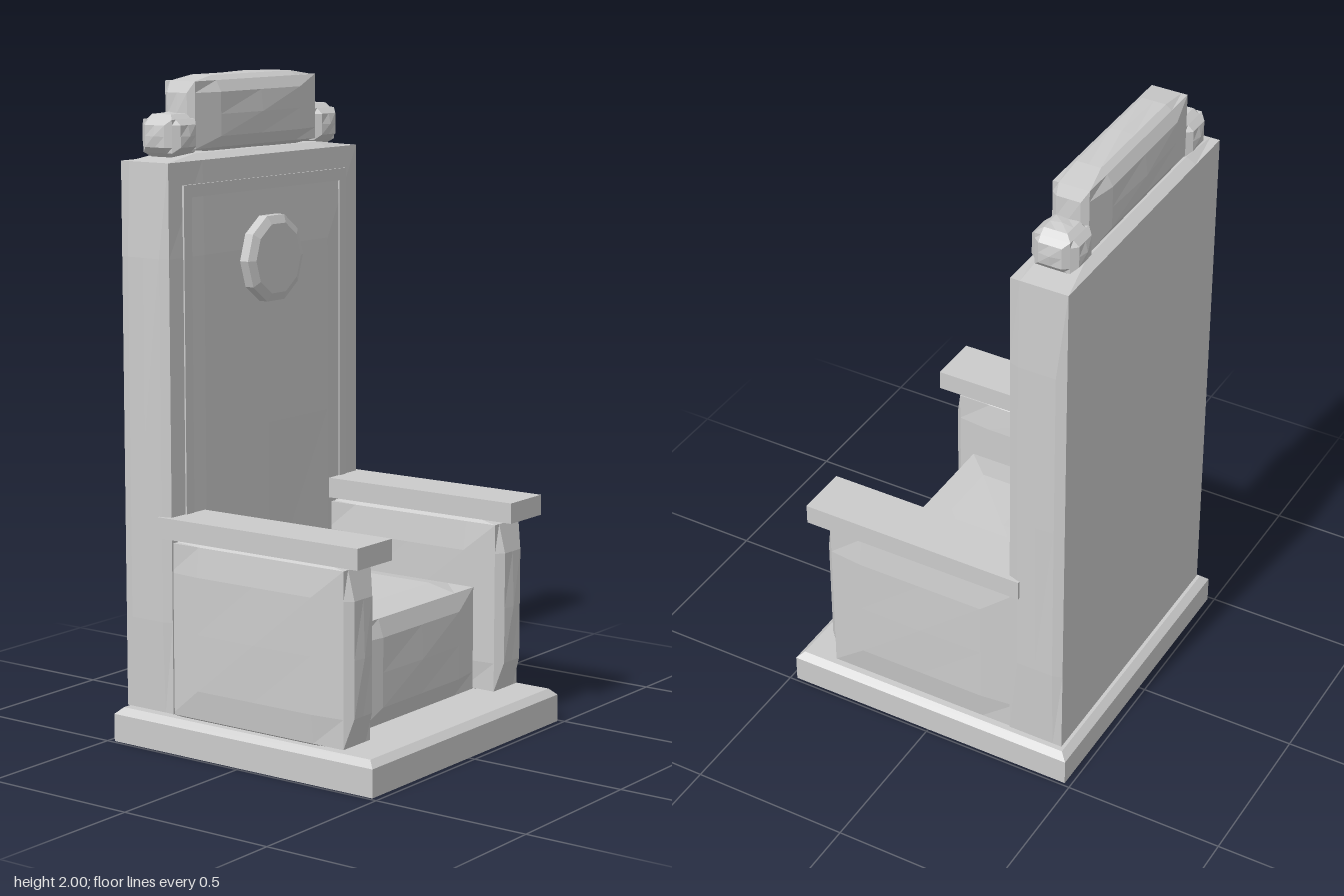
import * as THREE from 'three';

const material = new THREE.MeshStandardMaterial({ color: 0xcccccc, flatShading: true });

function add(group, name, geometry) {
  const g = geometry.index ? geometry.toNonIndexed() : geometry;
  g.computeVertexNormals();
  const mesh = new THREE.Mesh(g, material);
  mesh.name = name;
  group.add(mesh);
  return mesh;
}

// Box given by its limits on each axis
function block([x0, x1], [y0, y1], [z0, z1]) {
  return new THREE.BoxGeometry(x1 - x0, y1 - y0, z1 - z0)
    .translate((x0 + x1) / 2, (y0 + y1) / 2, (z0 + z1) / 2);
}

// Box whose faces swell outward: each face draws in by inset towards its rim.
function pillow([x0, x1], [y0, y1], [z0, z1], inset, power = 4) {
  const g = new THREE.BoxGeometry(2, 2, 2, 4, 4, 4);
  const p = g.attributes.position;
  const half = [(x1 - x0) / 2, (y1 - y0) / 2, (z1 - z0) / 2];
  const mid = [(x0 + x1) / 2, (y0 + y1) / 2, (z0 + z1) / 2];
  for (let i = 0; i < p.count; i++) {
    const u = [p.getX(i), p.getY(i), p.getZ(i)].map((c) => Math.sign(c) * Math.abs(c) ** 0.6);
    const q = u.map((c, a) => {
      const rim = Math.max(Math.abs(u[(a + 1) % 3]), Math.abs(u[(a + 2) % 3])) ** power;
      return mid[a] + c * (half[a] - inset[a] * rim);
    });
    p.setXYZ(i, ...q);
  }
  return g;
}

export function createModel() {
  const chair = new THREE.Group();
  chair.name = 'highBackChair';

  // Plinth with a bevelled upper edge
  const plinth = new THREE.BoxGeometry(0.98, 0.105, 0.96, 1, 2, 1).translate(0, 0.0525, 0);
  const p = plinth.attributes.position;
  for (let i = 0; i < p.count; i++) {
    const y = p.getY(i);
    if (y > 0.1) p.setXYZ(i, p.getX(i) * 0.96, y, p.getZ(i) * 0.955);
    else if (y > 0.03) p.setY(i, 0.085);
  }
  add(chair, 'plinth', plinth);

  // Seat cushion and tall back
  add(chair, 'seat', pillow([-0.312, 0.312], [0.09, 0.46], [-0.29, 0.312], [0.012, 0.025, 0.022]));
  add(chair, 'backrest', pillow([-0.472, 0.472], [0.09, 1.775], [-0.457, -0.266], [0.012, 0.022, 0.006]));

  // Thin frame set into the front of the back
  for (const s of [-1, 1]) {
    const stile = [s * 0.38 - 0.018, s * 0.38 + 0.018];
    add(chair, 'backFrameStile', block(stile, [0.5, 1.685], [-0.29, -0.2655]));
  }
  add(chair, 'backFrameRail', block([-0.362, 0.362], [1.648, 1.685], [-0.29, -0.2655]));

  // Ten-sided medallion with a bevelled face
  const profile = [[0, 0], [0.136, 0], [0.136, 0.03], [0.11, 0.042], [0, 0.042]]
    .map(([r, y]) => new THREE.Vector2(r, y));
  const medallion = add(chair, 'medallion', new THREE.LatheGeometry(profile, 10, Math.PI / 10 * 5));
  medallion.rotation.x = Math.PI / 2;
  medallion.position.set(0, 1.44, -0.267);

  // Crest: broad middle block flanked by two small ones
  add(chair, 'crest', pillow([-0.312, 0.312], [1.762, 2.0], [-0.447, -0.282], [0.02, 0.02, 0.026], 3));
  for (const s of [-1, 1]) {
    const x = s > 0 ? [0.27, 0.415] : [-0.415, -0.27];
    add(chair, 'crestShoulder', pillow(x, [1.755, 1.893], [-0.445, -0.285], [0.02, 0.02, 0.026], 3));

    // Arm panel with a flat rest on top
    const arm = s > 0 ? [0.31, 0.468] : [-0.468, -0.31];
    add(chair, 'armPanel', pillow(arm, [0.09, 0.652], [-0.31, 0.38], [0.014, 0.02, 0.028]));
    const rest = s > 0 ? [0.31, 0.478] : [-0.478, -0.31];
    add(chair, 'armRest', block(rest, [0.647, 0.71], [-0.31, 0.418]));
  }
  return chair;
}
